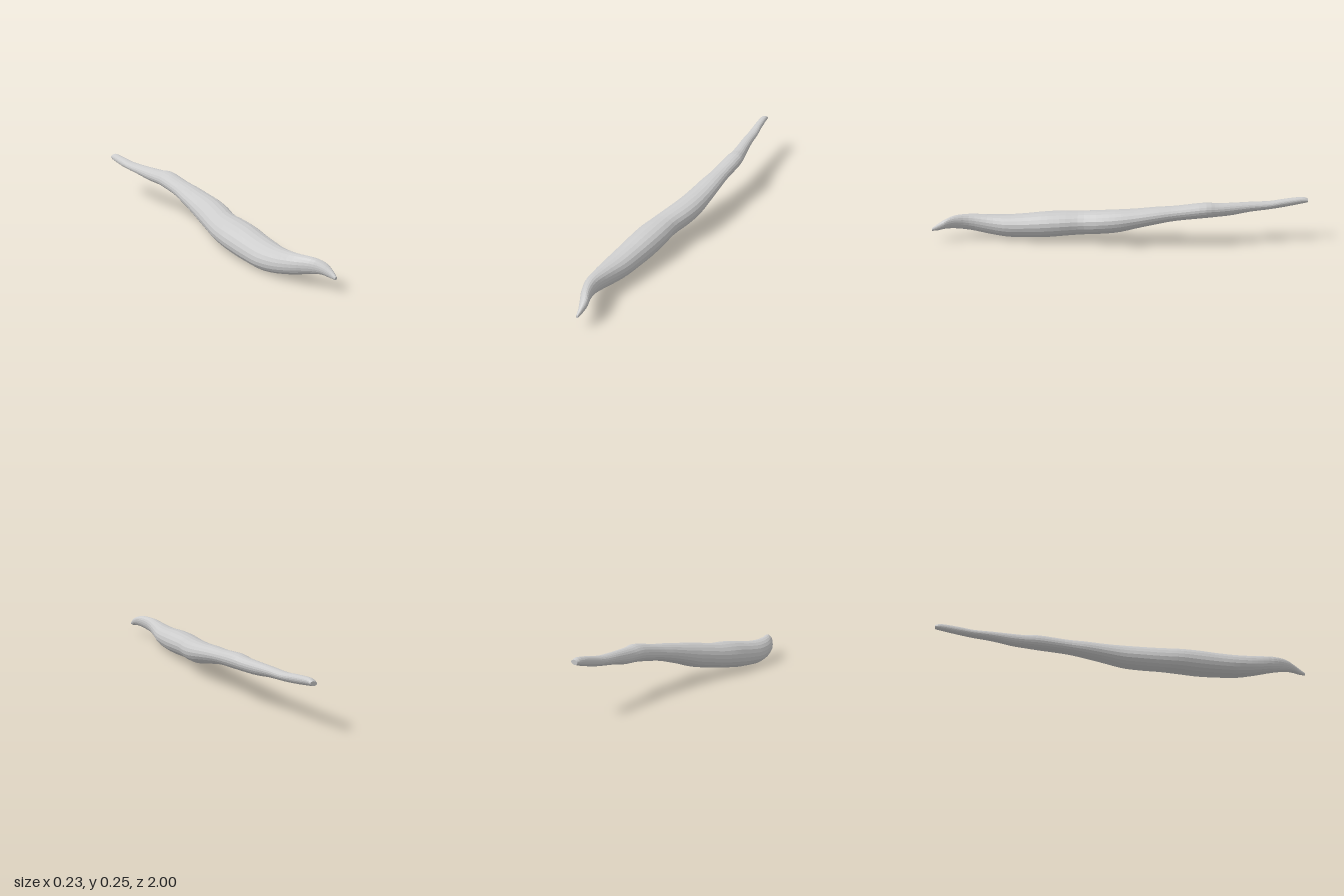
import * as THREE from 'three';

// Cross-sections from tail to nose: z, xMin, xMax, yMin, yMax
const SECTIONS = [
  [-1.0, -0.026, 0.008, 0.225, 0.247],
  [-0.97, -0.032, 0.012, 0.217, 0.255],
  [-0.88, -0.03, 0.022, 0.2, 0.246],
  [-0.8, -0.025, 0.036, 0.19, 0.236],
  [-0.7, -0.018, 0.05, 0.18, 0.235],
  [-0.6, -0.008, 0.07, 0.165, 0.235],
  [-0.52, -0.002, 0.089, 0.16, 0.236],
  [-0.45, -0.003, 0.104, 0.155, 0.241],
  [-0.3, -0.007, 0.102, 0.137, 0.221],
  [-0.2, -0.021, 0.107, 0.115, 0.212],
  [-0.1, -0.033, 0.11, 0.09, 0.2],
  [0.0, -0.048, 0.11, 0.062, 0.191],
  [0.1, -0.07, 0.097, 0.045, 0.179],
  [0.2, -0.092, 0.072, 0.03, 0.166],
  [0.3, -0.108, 0.071, 0.018, 0.162],
  [0.4, -0.112, 0.064, 0.006, 0.154],
  [0.5, -0.114, 0.05, 0.001, 0.14],
  [0.6, -0.114, 0.036, 0.0, 0.13],
  [0.7, -0.102, 0.014, 0.013, 0.128],
  [0.8, -0.077, 0.004, 0.037, 0.134],
  [0.88, -0.038, 0.022, 0.058, 0.135],
  [0.93, -0.008, 0.041, 0.066, 0.12],
  [0.97, 0.012, 0.04, 0.06, 0.096],
  [1.0, 0.022, 0.034, 0.058, 0.074],
];
const SIDES = 20;
const RINGS = 70;
const SKEW = 0.2; // leans each oval towards the upper left-hand side

function bodyGeometry() {
  const curve = (f) => new THREE.CatmullRomCurve3(SECTIONS.map(f), false, 'catmullrom', 0.5);
  const centres = curve(([z, x0, x1, y0, y1]) => new THREE.Vector3((x0 + x1) / 2, (y0 + y1) / 2, z));
  const radii = curve(([, x0, x1, y0, y1]) => new THREE.Vector3((x1 - x0) / 2, (y1 - y0) / 2, 0));
  const positions = [];
  const index = [];

  for (let i = 0; i <= RINGS; i++) {
    const c = centres.getPoint(i / RINGS);
    const r = radii.getPoint(i / RINGS);
    for (let j = 0; j < SIDES; j++) {
      const t = (j / SIDES) * Math.PI * 2;
      positions.push(c.x + r.x * Math.cos(t), Math.max(0, c.y + r.y * Math.sin(t + SKEW)), c.z);
    }
  }
  for (let i = 0; i < RINGS; i++) {
    for (let j = 0; j < SIDES; j++) {
      const k = (j + 1) % SIDES;
      const a = i * SIDES + j, b = i * SIDES + k;
      index.push(a, b, b + SIDES, a, b + SIDES, a + SIDES);
    }
  }
  // Close both ends with a fan
  const tail = positions.length / 3, nose = tail + 1, last = RINGS * SIDES;
  positions.push(...centres.getPoint(0).toArray(), ...centres.getPoint(1).toArray());
  for (let j = 0; j < SIDES; j++) {
    const k = (j + 1) % SIDES;
    index.push(tail, k, j, nose, last + j, last + k);
  }

  const geometry = new THREE.BufferGeometry();
  geometry.setAttribute('position', new THREE.Float32BufferAttribute(positions, 3));
  geometry.setIndex(index);
  geometry.computeVertexNormals();
  return geometry;
}

export function createModel() {
  const group = new THREE.Group();
  group.name = 'taperedRoot';
  const material = new THREE.MeshStandardMaterial({ color: 0xcccccc, flatShading: true });
  const body = new THREE.Mesh(bodyGeometry(), material);
  body.name = 'body';
  group.add(body);
  return group;
}
